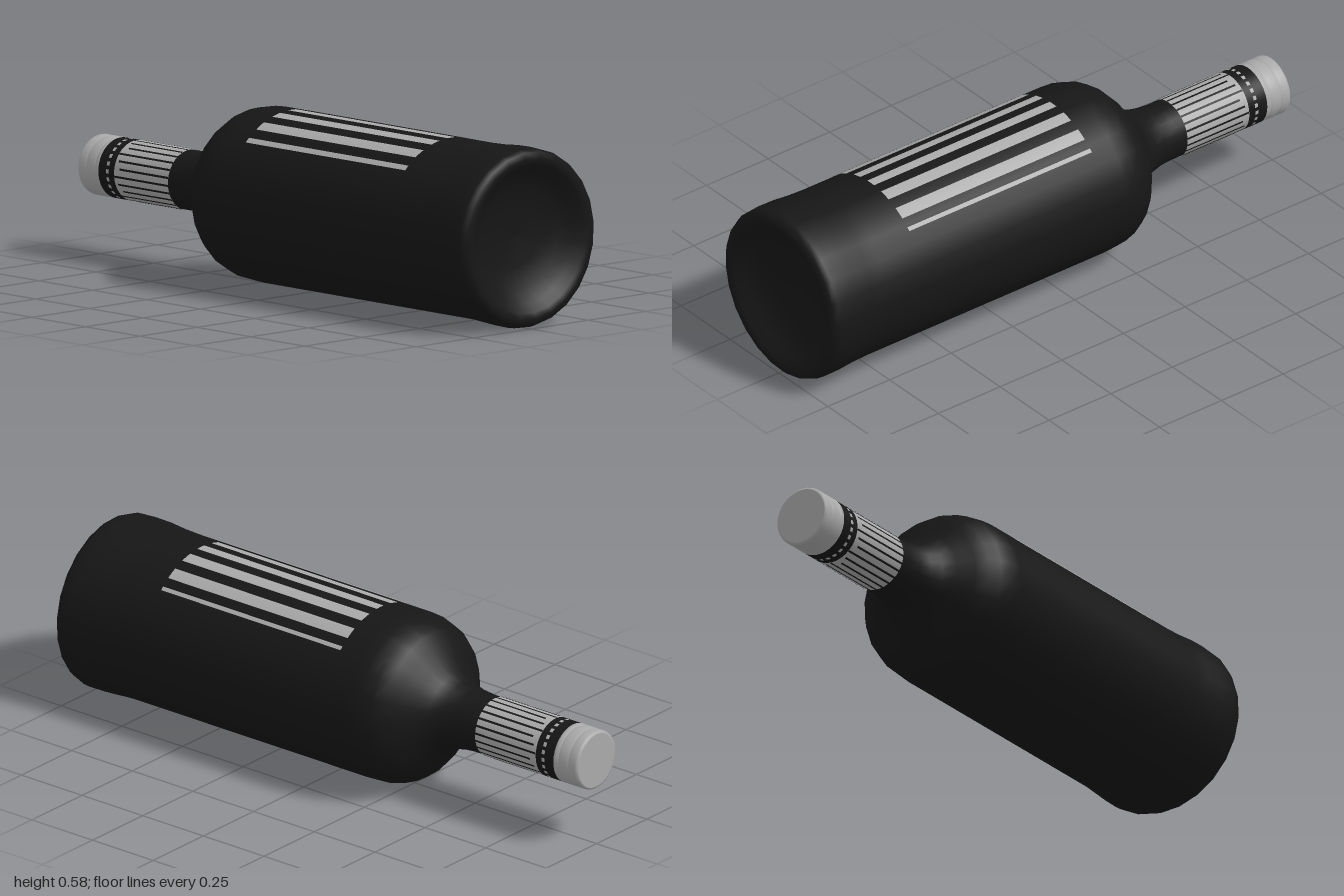
import * as THREE from 'three';

const DEG = Math.PI / 180;
const START = 9.8 * DEG; // angle of the first corner of the 24-sided glass
const SIDES = 24;

const black = new THREE.MeshStandardMaterial({ color: 0x161616, side: THREE.DoubleSide });
const grey = new THREE.MeshStandardMaterial({ color: 0xaaaaaa, side: THREE.DoubleSide });

export function createModel() {
  const model = new THREE.Group();
  model.name = 'bottle';
  // Built upright along y, then laid down with the base towards +z
  const bottle = new THREE.Group();
  bottle.name = 'lyingBottle';
  bottle.rotation.x = -Math.PI / 2;
  bottle.position.y = 0.29;
  model.add(bottle);

  const add = (name, geometry, material, parent = bottle) => {
    const mesh = new THREE.Mesh(geometry, material);
    mesh.name = name;
    parent.add(mesh);
    return mesh;
  };
  const lathe = (points, sides) =>
    new THREE.LatheGeometry(points.map(([r, y]) => new THREE.Vector2(r, y)), sides, START);
  // Curved strip wrapped on the bottle, between two heights and two angles
  const strip = (name, r, y0, y1, a0, a1, material, parent) => {
    const geometry = new THREE.CylinderGeometry(
      r, r, y1 - y0, Math.max(2, Math.ceil((a1 - a0) / 4)), 1, true, a0 * DEG, (a1 - a0) * DEG);
    geometry.translate(0, (y0 + y1) / 2, 0);
    return add(name, geometry, material, parent);
  };
  const subgroup = (name) => {
    const group = new THREE.Group();
    group.name = name;
    bottle.add(group);
    return group;
  };

  // Glass: hollow base, heel, straight wall, shoulder and neck
  add('glass', lathe([
    [0, -0.92], [0.1, -0.926], [0.17, -0.942], [0.215, -0.97], [0.24, -0.994],
    [0.26, -1], [0.28, -0.994], [0.288, -0.975], [0.29, -0.95], [0.289, -0.89],
    [0.284, -0.83], [0.282, -0.77], [0.282, 0.19], [0.279, 0.235], [0.267, 0.28],
    [0.245, 0.315], [0.212, 0.345], [0.165, 0.378], [0.13, 0.41], [0.11, 0.445],
    [0.1, 0.49], [0.096, 0.54], [0.096, 0.9],
  ], SIDES), black);

  // Label: bars along the upper side
  const label = subgroup('label');
  [[-45, -41], [-33.2, -25.2], [-17.5, -10.2], [-3, 4], [11.3, 19.5], [27.3, 35.6], [42.2, 45]]
    .forEach(([a0, a1]) => strip('labelBar', 0.2828, -0.63, 0.11, a0, a1, grey, label));

  // Foil sleeve with dark lines at the corners of the neck
  const foil = subgroup('neckFoil');
  strip('sleeve', 0.0975, 0.58, 0.83, 0, 360, grey, foil);
  for (let i = 0; i < SIDES; i++) {
    const a = 9.8 + i * 15;
    strip('foilLine', 0.0981, 0.58, 0.805 + 0.012 * (i % 3), a - 2, a + 2, black, foil);
  }

  // Dark seal ring with a row of small perforation marks
  const seal = subgroup('sealRing');
  strip('ring', 0.0975, 0.83, 0.905, 0, 360, black, seal);
  for (let i = 0; i < SIDES; i++) {
    const a = 9.8 + (i + 0.5) * 15;
    strip('perforation', 0.0983, 0.854, 0.866, a - 4, a + 4, grey, seal);
  }

  // Screw cap with shallow grooves, a rounded rim and a flat top
  add('cap', lathe([
    [0.094, 0.9], [0.098, 0.903], [0.098, 0.914], [0.095, 0.919], [0.095, 0.923],
    [0.098, 0.928], [0.098, 0.955], [0.095, 0.96], [0.095, 0.964], [0.098, 0.969],
    [0.098, 0.99], [0.096, 0.997], [0.09, 1],
  ], 48), grey);
  const top = new THREE.CircleGeometry(0.0902, 48);
  top.rotateX(-Math.PI / 2);
  add('capTop', top, grey).position.y = 1;

  return model;
}
